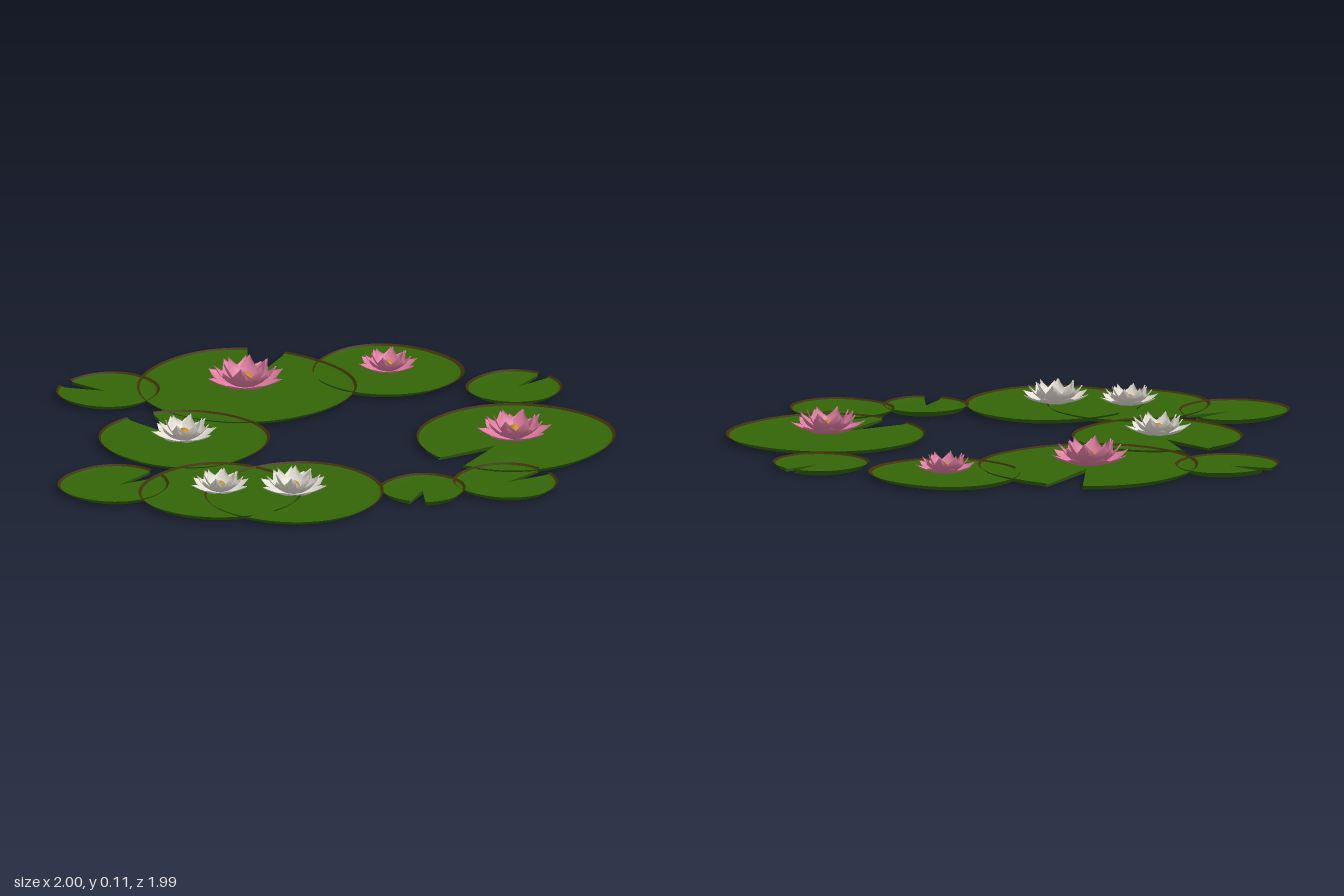
import * as THREE from 'three';

const mat = (name, color, side = THREE.FrontSide) => {
  const m = new THREE.MeshStandardMaterial({ color, side });
  m.name = name;
  return m;
};

// Surface from a rule f(u, v) -> [x, y, z], sampled on an nu by nv grid
function surface(nu, nv, f) {
  const pos = [], idx = [];
  for (let i = 0; i <= nu; i++)
    for (let j = 0; j <= nv; j++) pos.push(...f(i / nu, j / nv));
  for (let i = 0; i < nu; i++)
    for (let j = 0; j < nv; j++) {
      const a = i * (nv + 1) + j, b = a + nv + 1;
      idx.push(a, b, b + 1, a, b + 1, a + 1);
    }
  const g = new THREE.BufferGeometry();
  g.setAttribute('position', new THREE.Float32BufferAttribute(pos, 3));
  g.setIndex(idx);
  g.computeVertexNormals();
  return g;
}

function addMesh(parent, name, geo, material) {
  const m = new THREE.Mesh(geo, material);
  m.name = name;
  parent.add(m);
  return m;
}

const TOP = 0.013, LIP = 0.021, EDGE = 0.005;

// Notched leaf: centre, radii, notch tip, and the angles of the two notch corners
function makePad([cx, cz, rx, rz, tx, tz, n0, n1], mats) {
  const pad = new THREE.Group();
  pad.name = 'lilyPad';
  const r = Math.max(rx, rz);
  const start = THREE.MathUtils.degToRad(n1);
  const sweep = THREE.MathUtils.degToRad(360 - (n1 - n0));
  const at = (k, v, y) => {
    const a = start + sweep * v, c = Math.cos(a), s = Math.sin(a), n = 2.15;
    const wave = 1 + 0.018 * Math.cos(3 * (a - start) - 1.2);
    const q = wave * (Math.abs(c) ** n + Math.abs(s) ** n) ** (-1 / n);
    const x = cx + rx * q * c, z = cz - rz * q * s;
    return [tx + (x - tx) * k, y, tz + (z - tz) * k];
  };
  // Rows are [fraction from the notch tip to the edge, height]
  const loft = (rows) => surface(rows.length - 1, 64, (u, v) => {
    const [k, y] = rows[Math.round(u * (rows.length - 1))];
    return at(k, v, y);
  });
  const inner = 1 - 0.009 / r, under = 1 - 0.02 / r;
  addMesh(pad, 'leafTop', loft([[0, TOP], [inner - 0.05, TOP], [inner, TOP + 0.003]]), mats.leaf);
  addMesh(pad, 'leafRim', loft([[inner, TOP + 0.003], [1, LIP]]), mats.rim);
  addMesh(pad, 'leafUnderside', loft([[1, LIP], [under, EDGE], [0.85, 0.001], [0, 0]]), mats.leaf);
  // Cut faces on both sides of the notch
  for (const v of [0, 1])
    addMesh(pad, 'notchWall', surface(1, 1, (u, w) =>
      at(u * inner, v, w ? u * EDGE : TOP)), mats.leafCut);
  return pad;
}

// Pointed, cupped petal that curves up from the flower's centre
function petalGeometry(tipR, tipY, halfWidth) {
  return surface(8, 4, (u, v) => {
    const s = v * 2 - 1;
    const b = 2 * u * (1 - u);
    const x = 0.08 * (1 - u) ** 2 + b * tipR * 0.72 + u * u * tipR;
    const y = b * tipY * 0.22 + u * u * tipY;
    const w = halfWidth * Math.min(1, 0.35 + 1.1 * u) * Math.min(1, (1 - u) / 0.4);
    return [x - 0.04 * s * s * u, y + 0.22 * w * s * s, -w * s];
  });
}

// Rings of petals for a flower of radius one: count, tip radius, tip height, half width, turn
const RINGS = [
  [8, 1.03, 0.34, 0.29, 0],
  [8, 0.8, 0.55, 0.26, 0.5],
  [6, 0.58, 0.66, 0.24, 0.2],
];

function makeFlower([x, z, r, turn], petalMat, heartMat) {
  const flower = new THREE.Group();
  flower.name = 'flower';
  for (const [count, tipR, tipY, width, shift] of RINGS) {
    const geo = petalGeometry(tipR, tipY, width);
    for (let i = 0; i < count; i++)
      addMesh(flower, 'petal', geo, petalMat).rotation.y = ((i + shift) / count) * Math.PI * 2;
  }
  const heart = addMesh(flower, 'flowerHeart', new THREE.SphereGeometry(0.2, 16, 10), heartMat);
  heart.position.y = 0.18;
  flower.position.set(x, 0.017, z);
  flower.rotation.y = turn;
  flower.scale.setScalar(r);
  return flower;
}

const PADS = [
  [0.24, -0.50, 0.37, 0.37, 0.28, -0.52, 18.5, 39],
  [-0.305, -0.31, 0.285, 0.29, -0.29, -0.37, 62, 83],
  [0.68, -0.23, 0.25, 0.26, 0.58, -0.32, 136, 153],
  [-0.81, -0.20, 0.19, 0.185, -0.80, -0.19, -22, -2],
  [-0.63, 0.125, 0.275, 0.275, -0.635, 0.17, 244, 263],
  [-0.475, 0.335, 0.31, 0.295, -0.49, 0.28, 94, 115],
  [-0.155, 0.64, 0.145, 0.145, -0.165, 0.645, 200, 224],
];
const MORE_PADS = [
  [0.085, 0.81, 0.172, 0.18, 0.085, 0.81, -20, -2],
  [0.445, 0.545, 0.338, 0.332, 0.35, 0.54, 167, 188],
  [0.835, 0.21, 0.163, 0.163, 0.85, 0.21, -8, 9],
  [-0.095, -0.83, 0.18, 0.17, -0.10, -0.845, 93, 114],
];

// Flowers: x, z, radius, turn
const PINK = [[0.24, -0.50, 0.137, 0.3], [0.44, 0.545, 0.127, 0.05], [0.68, -0.23, 0.103, 0.2]];
const WHITE = [[-0.31, -0.31, 0.112, 0.1], [-0.63, 0.125, 0.102, 0.25], [-0.478, 0.328, 0.118, 0.4]];

export function createModel() {
  const model = new THREE.Group();
  model.name = 'waterLilies';
  const mats = {
    leaf: mat('leafGreen', 0x336507),
    leafCut: mat('leafCutGreen', 0x2a5006, THREE.DoubleSide),
    rim: mat('rimBrown', 0x3f3008),
  };
  const pink = mat('petalPink', 0xde7ca0, THREE.DoubleSide);
  const white = mat('petalWhite', 0xe4dfd6, THREE.DoubleSide);
  const heart = mat('heartGold', 0xc08a1a);

  for (const p of [...PADS, ...MORE_PADS]) model.add(makePad(p, mats));
  for (const f of PINK) model.add(makeFlower(f, pink, heart));
  for (const f of WHITE) model.add(makeFlower(f, white, heart));
  return model;
}
